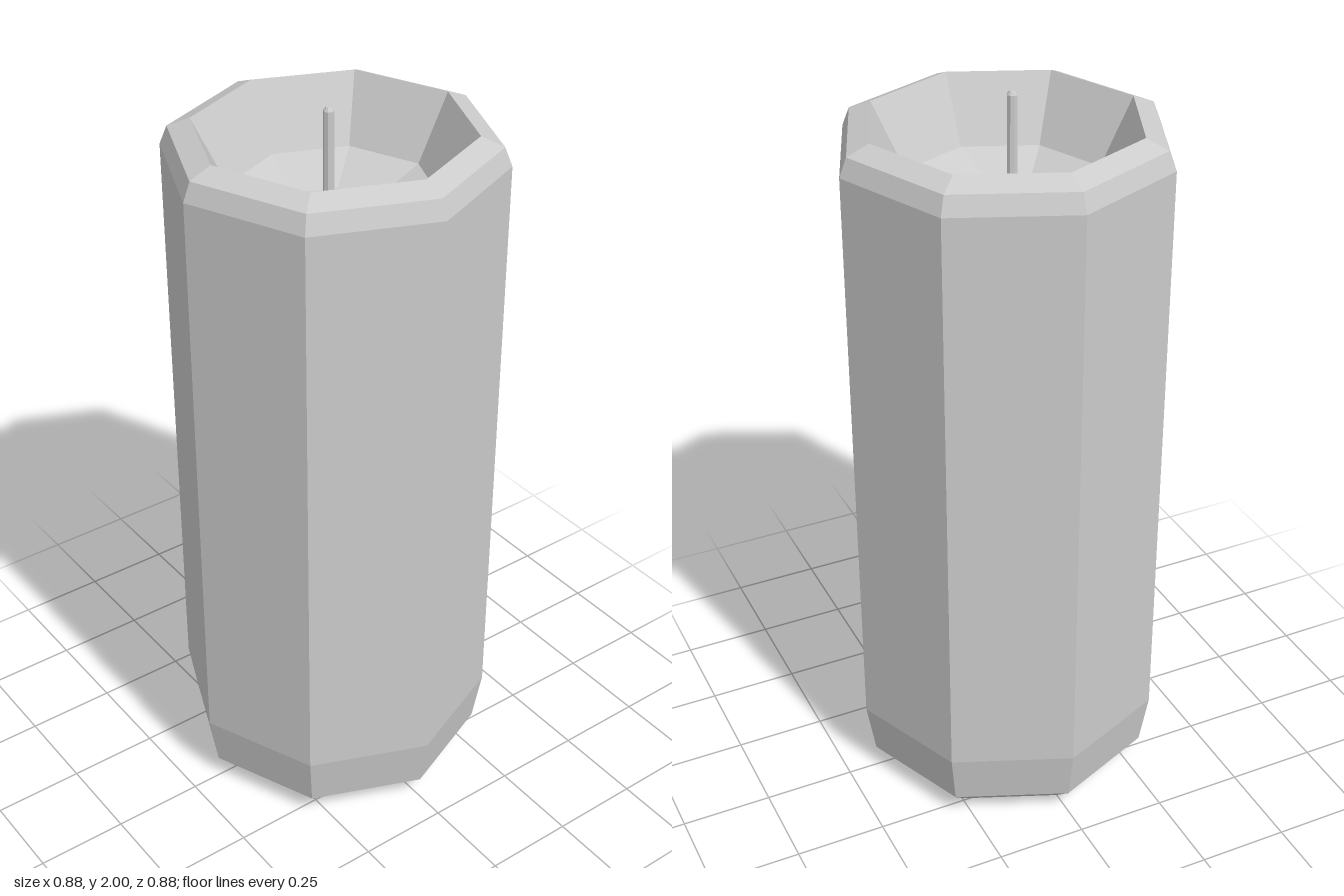
import * as THREE from 'three';

const SIDES = 8;
const WICK_X = 0.014, WICK_Z = 0.026;

// Faceted solid of revolution from [radius, height] pairs
function facetedLathe(profile) {
  return new THREE.LatheGeometry(profile.map(([r, y]) => new THREE.Vector2(r, y)), SIDES);
}

export function createModel() {
  const group = new THREE.Group();
  group.name = 'candle';
  const material = new THREE.MeshStandardMaterial({ color: 0xcccccc, flatShading: true });

  // Wax body: outer wall, bevelled rim and the melted hollow inside
  const profile = [
    [0, 0], [0.345, 0], [0.415, 0.065], [0.44, 0.215],
    [0.44, 1.86], [0.42, 1.91], [0.36, 1.935],
    [0.27, 1.76], [0.15, 1.71], [0, 1.71],
  ];
  const wax = facetedLathe(profile);

  // The pool floor sits slightly off centre, around the wick
  const pos = wax.attributes.position;
  for (let i = 0; i < pos.count; i++) {
    if (i % profile.length >= profile.length - 2) {
      pos.setXYZ(i, pos.getX(i) + WICK_X, pos.getY(i), pos.getZ(i) + WICK_Z);
    }
  }
  wax.computeVertexNormals();
  const body = new THREE.Mesh(wax, material);
  body.name = 'waxBody';
  group.add(body);

  // Thin wick with a bevelled tip
  const wick = new THREE.Mesh(
    facetedLathe([[0, 1.69], [0.014, 1.69], [0.014, 1.99], [0.007, 2], [0, 2]]),
    material
  );
  wick.name = 'wick';
  wick.position.set(WICK_X, 0, WICK_Z);
  group.add(wick);

  return group;
}
